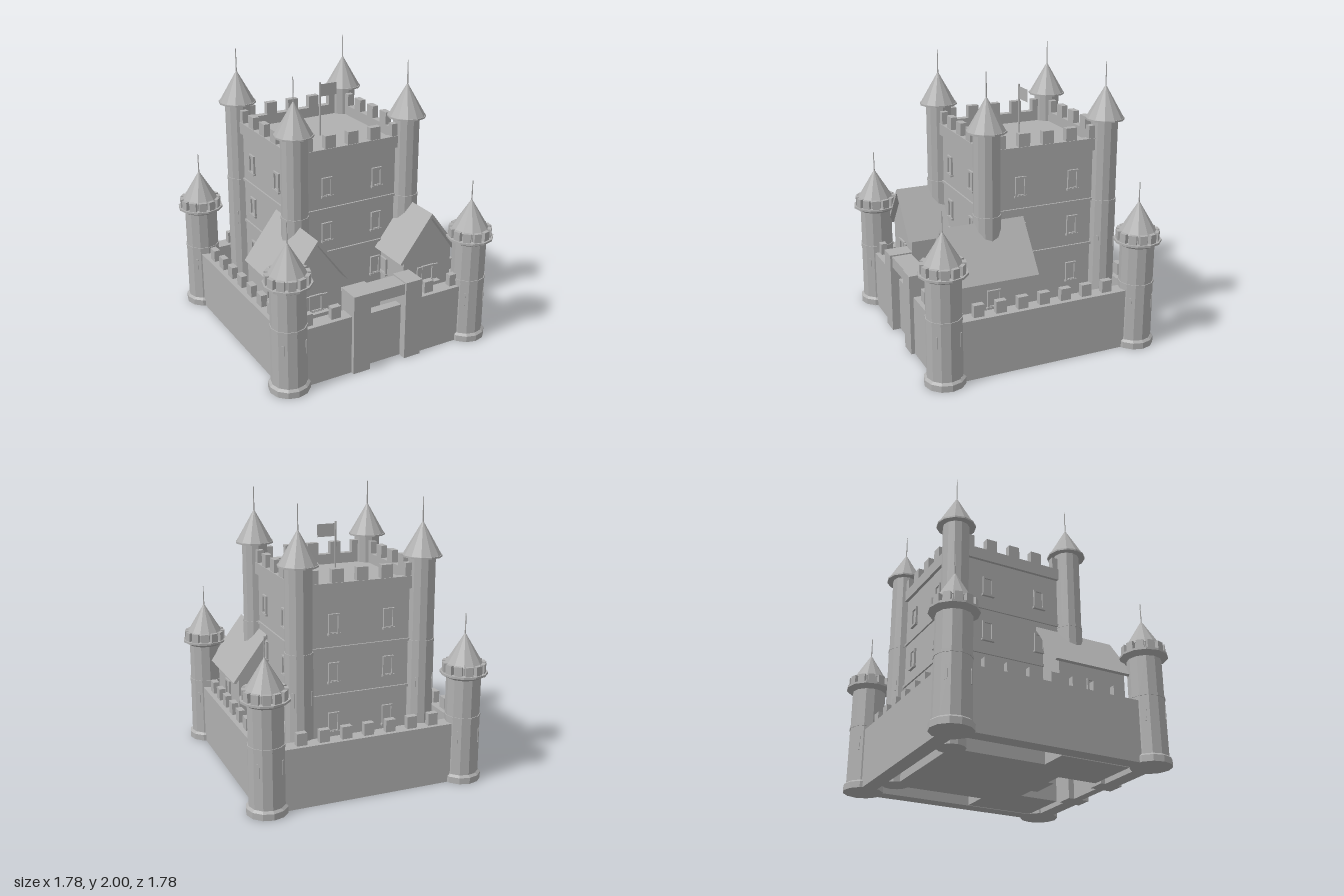
import * as THREE from 'three';

const stone = new THREE.MeshStandardMaterial({ color: 0xb0b0b0, flatShading: true });
stone.name = 'grey stone';
const cloth = new THREE.MeshStandardMaterial({ color: 0xb0b0b0, side: THREE.DoubleSide });
cloth.name = 'grey cloth';

function add(parent, name, geo, x = 0, y = 0, z = 0, mat = stone) {
  const m = new THREE.Mesh(geo, mat);
  m.name = name;
  m.position.set(x, y, z);
  parent.add(m);
  return m;
}
// Box given by its min and max on each axis
function box(parent, name, x0, x1, y0, y1, z0, z1) {
  return add(parent, name, new THREE.BoxGeometry(x1 - x0, y1 - y0, z1 - z0),
    (x0 + x1) / 2, (y0 + y1) / 2, (z0 + z1) / 2);
}
function drum(parent, name, rBottom, rTop, y0, y1, sides = 12) {
  return add(parent, name, new THREE.CylinderGeometry(rTop, rBottom, y1 - y0, sides), 0, (y0 + y1) / 2, 0);
}
function group(parent, name, x = 0, y = 0, z = 0, ry = 0) {
  const g = new THREE.Group();
  g.name = name;
  g.position.set(x, y, z);
  g.rotation.y = ry;
  parent.add(g);
  return g;
}
function polygon(points) {
  return new THREE.Shape(points.map(([x, y]) => new THREE.Vector2(x, y)));
}
function extrude(shape, depth) {
  return new THREE.ExtrudeGeometry(shape, { depth, bevelEnabled: false });
}

// Framed window facing +z of its group, origin at its centre on the wall
function windowFrame(parent, x, y, z, ry, w = 0.08, h = 0.14) {
  const g = group(parent, 'window', x, y, z, ry);
  const a = w / 2, b = h / 2, t = 0.013;
  const s = polygon([[-a, -b], [a, -b], [a, b], [-a, b]]);
  s.holes.push(polygon([[-a + t, -b + t], [-a + t, b - t], [a - t, b - t], [a - t, -b + t]]));
  add(g, 'windowFrame', extrude(s, 0.015));
  box(g, 'windowPane', -a + t, a - t, -b + t, b - t, 0, 0.003);
  box(g, 'windowSill', -a - 0.006, a + 0.006, -b - 0.006, -b + 0.008, 0, 0.02);
}

// Narrow slits on the four diagonal faces of a round tower
function slits(parent, r, y0, y1) {
  for (let i = 0; i < 4; i++) {
    const g = group(parent, 'slit', 0, 0, 0, Math.PI / 4 + i * Math.PI / 2);
    const d = r * Math.cos(Math.PI / 12);
    box(g, 'arrowSlit', -0.009, 0.009, y0, y1, d - 0.004, d + 0.004);
  }
}

function cornerTower(parent, x, z) {
  const g = group(parent, 'cornerTower', x, 0, z);
  drum(g, 'towerFoot', 0.143, 0.143, 0, 0.045);
  drum(g, 'towerFootSlope', 0.143, 0.126, 0.045, 0.06);
  drum(g, 'towerLowerBody', 0.125, 0.123, 0.06, 0.475);
  drum(g, 'towerBand', 0.127, 0.127, 0.465, 0.485);
  drum(g, 'towerUpperBody', 0.121, 0.121, 0.485, 0.77);
  drum(g, 'towerCorbel', 0.121, 0.165, 0.755, 0.78);
  drum(g, 'towerPlatform', 0.167, 0.167, 0.78, 0.795);
  drum(g, 'towerRoofDrum', 0.125, 0.125, 0.795, 0.85);
  drum(g, 'towerRoof', 0.133, 0, 0.85, 1.07);
  drum(g, 'towerSpire', 0.005, 0.003, 1.05, 1.205, 6);
  for (let i = 0; i < 12; i++) {
    const m = group(g, 'merlonSpoke', 0, 0, 0, (i + 0.5) * Math.PI / 6);
    box(m, 'towerMerlon', -0.026, 0.026, 0.795, 0.86, 0.12, 0.15);
  }
  slits(g, 0.124, 0.285, 0.385);
}

function keepTurret(parent, x, z) {
  const g = group(parent, 'keepTurret', x, 0, z);
  drum(g, 'turretLowerBody', 0.096, 0.096, 0, 1.01);
  drum(g, 'turretBand', 0.098, 0.098, 1.01, 1.03);
  drum(g, 'turretUpperBody', 0.0925, 0.0925, 1.03, 1.6);
  drum(g, 'turretEaves', 0.137, 0.137, 1.6, 1.612);
  drum(g, 'turretRoof', 0.131, 0, 1.612, 1.84);
  drum(g, 'turretSpire', 0.005, 0.003, 1.82, 2, 6);
  slits(g, 0.096, 0.67, 0.77);
}

function house(parent, x) {
  const g = group(parent, 'house', x, 0, 0);
  add(g, 'houseWalls', extrude(polygon(
    [[-0.2, 0], [0.2, 0], [0.2, 0.67], [0, 0.945], [-0.2, 0.67]]), 0.52), 0, 0, 0.08);
  // Pitched roof as one folded slab
  add(g, 'houseRoof', extrude(polygon(
    [[-0.255, 0.645], [-0.235, 0.637], [0, 0.95], [0.235, 0.637], [0.255, 0.645], [0, 0.98]]), 0.61), 0, 0, 0.03);
  windowFrame(g, 0, 0.507, 0.6, 0, 0.1, 0.125);
  for (const s of [-1, 1]) {
    box(g, 'shutter', s * 0.069 - 0.018, s * 0.069 + 0.018, 0.45, 0.565, 0.6, 0.612);
    windowFrame(g, s * 0.2, 0.507, 0.34, s * Math.PI / 2, 0.1, 0.125);
  }
  box(g, 'houseSill', -0.085, 0.085, 0.437, 0.448, 0.6, 0.65);
}

function keep(parent) {
  const g = group(parent, 'keep', 0, 0, -0.148);
  const W = 0.45, P = 0.472;
  box(g, 'keepBody', -W, W, 0, 1.4, -W, W);
  for (const y of [0.69, 1.02])
    box(g, 'stringCourse', -W - 0.012, W + 0.012, y, y + 0.018, -W - 0.012, W + 0.012);
  // Four identical sides: parapet, merlons and windows
  for (let i = 0; i < 4; i++) {
    const s = group(g, 'keepSide', 0, 0, 0, i * Math.PI / 2);
    box(s, 'parapet', -P, P, 1.39, 1.475, 0.42, P);
    for (let k = -2; k <= 2; k++)
      box(s, 'keepMerlon', k * 0.177 - 0.041, k * 0.177 + 0.041, 1.475, 1.565, 0.42, 0.467);
    for (const x of [-0.2, 0.2])
      for (const y of [0.507, 0.86, 1.195]) windowFrame(s, x, y, W, 0);
  }
  box(g, 'keepDoor', -0.115, 0.115, 0, 0.39, W, 0.5);
  for (const x of [-0.445, 0.445])
    for (const z of [-0.445, 0.445]) keepTurret(g, x, z);
  // Flag on the keep roof
  drum(g, 'flagPole', 0.007, 0.007, 1.4, 1.795, 8);
  add(g, 'flag', new THREE.PlaneGeometry(0.13, 0.09), 0.07, 1.735, 0, cloth);
}

function curtainWalls(parent) {
  const H = 0.434, A = 0.668, B = 0.777;
  const merlon = (x, z, w, d) =>
    box(parent, 'wallMerlon', x - w / 2, x + w / 2, H, 0.52, z - d / 2, z + d / 2);
  box(parent, 'backWall', -0.72, 0.72, 0, H, -B, -A);
  for (let k = -3; k <= 3; k++) merlon(k * 0.161, -0.725, 0.072, 0.045);
  for (const s of [-1, 1]) {
    box(parent, 'sideWall', Math.min(s * A, s * B), Math.max(s * A, s * B), 0, H, -0.72, 0.72);
    for (let k = -3; k <= 3; k++) merlon(s * 0.722, k * 0.161, 0.045, 0.075);
    const f = [s * 0.2, s * 0.72];
    box(parent, 'frontWall', Math.min(...f), Math.max(...f), 0, H, A, B);
    for (const x of [0.375, 0.59]) merlon(s * x, 0.722, 0.072, 0.045);
  }
}

function gatehouse(parent) {
  const g = group(parent, 'gatehouse');
  for (const s of [-1, 1])
    box(g, 'gatePier', s * 0.207 - 0.066, s * 0.207 + 0.066, 0, 0.592, 0.635, 0.805);
  box(g, 'gateBeam', -0.141, 0.141, 0.5, 0.582, 0.645, 0.79);
  box(g, 'gateDoor', -0.141, 0.141, 0, 0.4, 0.68, 0.745);
}

export function createModel() {
  const castle = new THREE.Group();
  castle.name = 'castle';
  curtainWalls(castle);
  gatehouse(castle);
  keep(castle);
  for (const s of [-1, 1]) {
    house(castle, s * 0.455);
    for (const z of [-0.725, 0.725]) cornerTower(castle, s * 0.725, z);
  }
  return castle;
}
